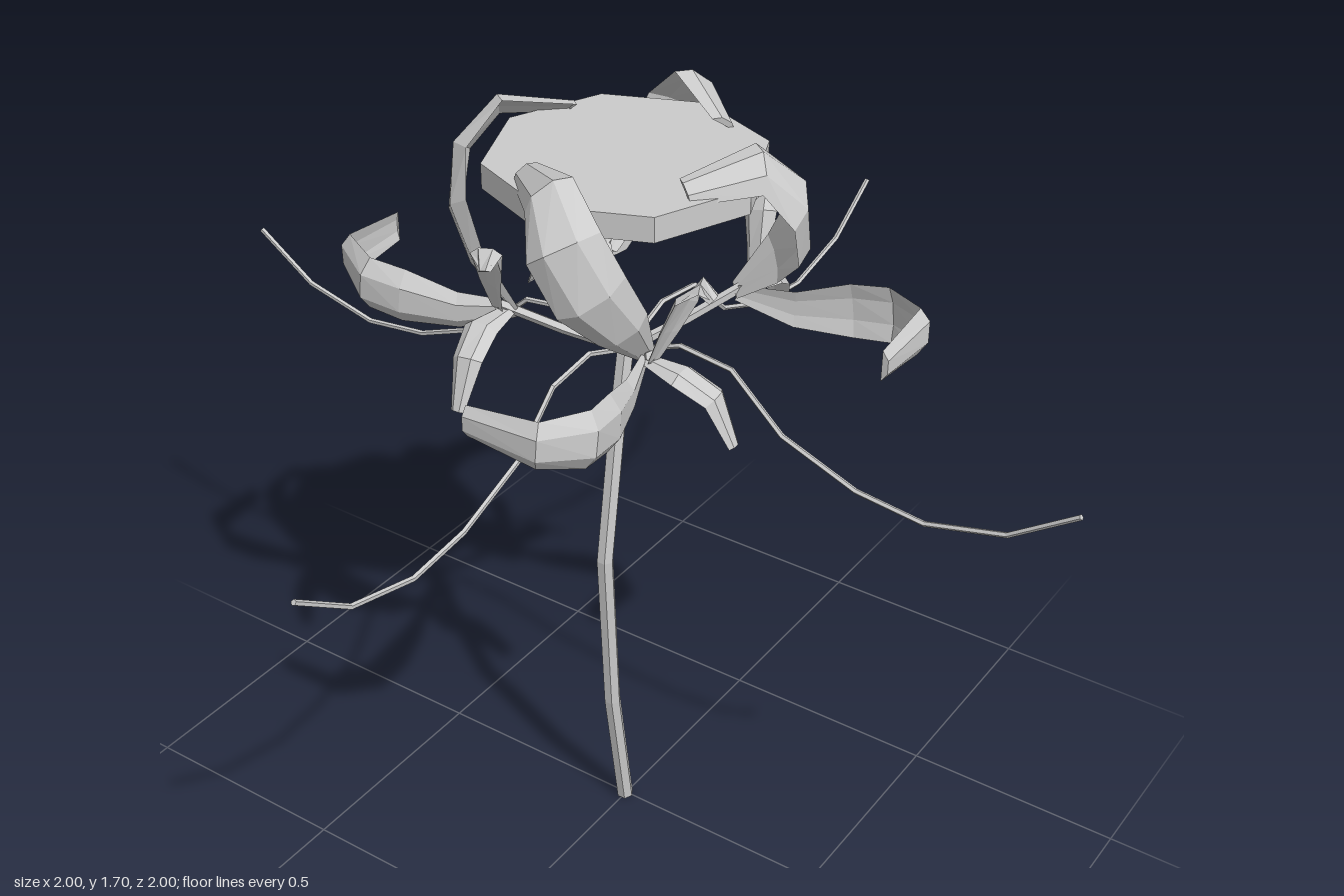
import * as THREE from 'three';

const material = new THREE.MeshStandardMaterial({ color: 0xcccccc, flatShading: true, side: THREE.DoubleSide });

// Cross-sections as [across, outward] pairs, counter-clockwise
const round = (r, n) => Array.from({ length: n }, (_, i) => {
  const a = (i / n) * Math.PI * 2;
  return [r * Math.cos(a), r * Math.sin(a)];
});
// Cupped blade section: w = half width
const cupped = (w) => [
  [w, -0.4 * w], [0.45 * w, 0], [-0.45 * w, 0], [-w, -0.4 * w], [-0.4 * w, -0.25 * w], [0.4 * w, -0.25 * w],
];

// Loft sections along a path; "across" sets the direction of the width
function loft(name, path, across, sections) {
  const pts = path.map((p) => new THREE.Vector3(...p));
  const hint = new THREE.Vector3(...across);
  const last = pts.length - 1;
  const n = sections[0].length;
  const pos = [], index = [];
  pts.forEach((p, i) => {
    const t = new THREE.Vector3();
    if (i > 0) t.add(p.clone().sub(pts[i - 1]).normalize());
    if (i < last) t.add(pts[i + 1].clone().sub(p).normalize());
    t.normalize();
    const w = hint.clone().addScaledVector(t, -hint.dot(t)).normalize();
    const out = t.clone().cross(w);
    for (const [u, v] of sections[i]) {
      const q = p.clone().addScaledVector(w, u).addScaledVector(out, v);
      pos.push(q.x, q.y, q.z);
    }
  });
  for (let i = 0; i < last; i++) {
    for (let j = 0; j < n; j++) {
      const a = i * n + j, b = i * n + ((j + 1) % n);
      index.push(a, b, b + n, a, b + n, a + n);
    }
  }
  for (let j = 1; j < n - 1; j++) {
    index.push(0, j + 1, j, last * n, last * n + j, last * n + j + 1);
  }
  const geo = new THREE.BufferGeometry();
  geo.setAttribute('position', new THREE.Float32BufferAttribute(pos, 3));
  geo.setIndex(index);
  const flat = geo.toNonIndexed();
  flat.computeVertexNormals();
  const mesh = new THREE.Mesh(flat, material);
  mesh.name = name;
  return mesh;
}

const tube = (name, path, across, r, n) => loft(name, path, across, path.map(() => round(r, n)));
const blade = (name, path, across, widths) => loft(name, path, across, widths.map(cupped));

export function createModel() {
  const flower = new THREE.Group();
  flower.name = 'flower';

  // Curved stem
  flower.add(tube('stem',
    [[0, 0, 0.005], [0, 0.32, 0.055], [0, 0.72, 0.08], [0, 1.03, 0.035], [0, 1.22, 0]],
    [1, 0, 0], 0.019, 6));

  // Flat octagonal disc held up by the upright petals
  const disc = new THREE.Mesh(new THREE.CylinderGeometry(0.28, 0.28, 0.052, 8), material);
  disc.name = 'disc';
  disc.position.y = 1.607;
  flower.add(disc);

  // Four identical quarters around the stem
  for (let k = 0; k < 4; k++) {
    const quarter = new THREE.Group();
    quarter.name = 'quarter' + (k + 1);
    quarter.rotation.y = (k * Math.PI) / 2;

    // Stalk along the diagonal
    quarter.add(tube('stalk', [[0, 1.2, 0], [0.09, 1.26, 0.09], [0.18, 1.33, 0.18]], [1, 0, -1], 0.011, 5));

    // Upright petal curling over the disc
    quarter.add(blade('uprightPetal',
      [[0.16, 1.31, 0.16], [0.175, 1.4, 0.25], [0.15, 1.49, 0.32], [0.095, 1.6, 0.345], [0.02, 1.68, 0.295], [-0.1, 1.65, 0.2]],
      [-0.6, -0.6, 0.55], [0.02, 0.055, 0.075, 0.075, 0.055, 0.03]));

    // Spreading petal with a hooked end
    quarter.add(blade('spreadingPetal',
      [[0.16, 1.31, 0.16], [0.205, 1.29, 0.27], [0.25, 1.305, 0.38], [0.262, 1.315, 0.47], [0.2, 1.33, 0.57], [0.035, 1.33, 0.57]],
      [0, -1, 0], [0.018, 0.04, 0.06, 0.06, 0.05, 0.033]));

    // Small sepal bending down
    quarter.add(blade('lowerSepal',
      [[-0.17, 1.32, 0.17], [-0.175, 1.32, 0.25], [-0.16, 1.28, 0.32], [-0.155, 1.18, 0.36]],
      [1, 0, 0], [0.02, 0.038, 0.034, 0.016]));

    // Small sepal rising and curling outward
    quarter.add(blade('upperSepal',
      [[-0.18, 1.32, 0.18], [-0.17, 1.39, 0.205], [-0.155, 1.46, 0.23], [-0.14, 1.5, 0.265], [-0.13, 1.465, 0.29]],
      [1, 0, 0.2], [0.015, 0.03, 0.04, 0.032, 0.016]));

    // Long drooping filament
    quarter.add(tube('filament',
      [[0, 1.2, 0], [0.13, 1.25, 0], [0.25, 1.235, 0], [0.37, 1.125, 0], [0.54, 1.06, 0], [0.69, 1.043, 0], [0.86, 1.085, 0], [0.997, 1.18, 0]],
      [0, 0, 1], 0.006, 5));

    flower.add(quarter);
  }
  return flower;
}
